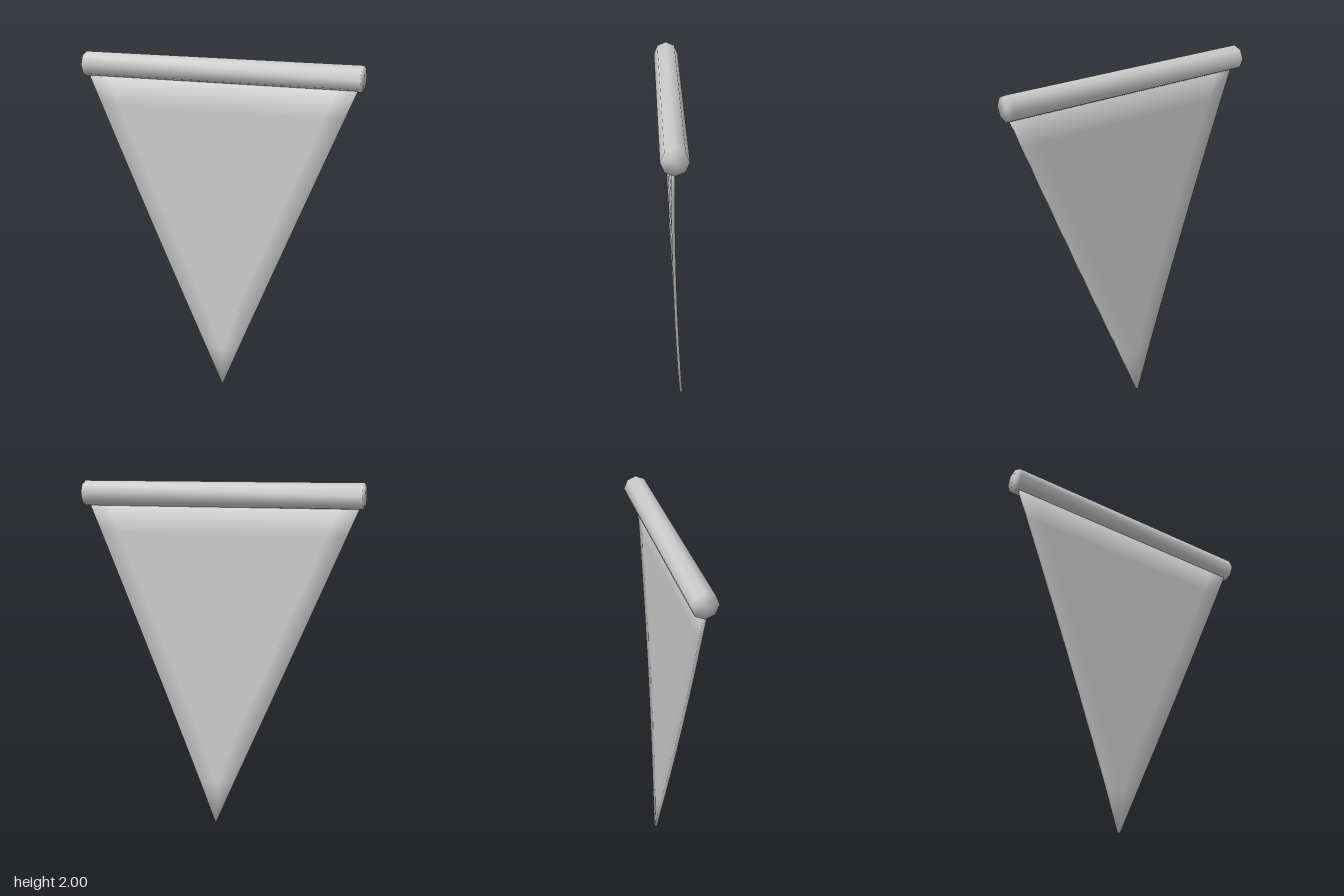
import * as THREE from 'three';
import { mergeVertices } from 'three/addons/utils/BufferGeometryUtils.js';

const ROD_RADIUS = 0.073, ROD_LENGTH = 1.67;
const TOP = 1.862, HALF_WIDTH = 0.81, THICKNESS = 0.018;

// Octagonal rod with shading that runs smoothly over the end caps
function rodGeometry() {
  const g = new THREE.CylinderGeometry(ROD_RADIUS, ROD_RADIUS, ROD_LENGTH, 8);
  g.deleteAttribute('normal');
  g.deleteAttribute('uv');
  const merged = mergeVertices(g);
  merged.computeVertexNormals();
  merged.rotateZ(Math.PI / 2);
  return merged;
}

// Thin triangular cloth: one eight-point loop per height, soft normals along the hem
function clothGeometry() {
  const heights = [TOP, 1.7, 1.45, 1.2, 0.95, 0.7, 0.45, 0.24, 0];
  const hem = 0.115;
  const pos = [], nor = [], idx = [];
  heights.forEach((y, r) => {
    const t = y / TOP;
    const outer = Math.max(HALF_WIDTH * t, 0.003);
    const inner = Math.max(outer - hem, outer * 0.15);
    // Leans back towards the tip with a slight forward belly
    const z = -0.07 + 0.079 * t + 0.05 * t * (1 - t);
    const xs = [-outer, -inner, inner, outer];
    for (const side of [1, -1]) {
      for (let k = 0; k < 4; k++) {
        const x = xs[side > 0 ? k : 3 - k];
        const onHem = k === 0 || k === 3;
        const n = new THREE.Vector3(0, 0, side);
        if (onHem) n.add(new THREE.Vector3(Math.sign(x) * 0.75, -0.33, 0));
        if (r === 0) n.y += 0.8;
        if (r === heights.length - 1) n.y -= 0.8;
        n.normalize();
        pos.push(x, y, z + side * THICKNESS / 2);
        nor.push(n.x, n.y, n.z);
      }
    }
  });
  const last = heights.length - 1;
  for (let r = 0; r < last; r++) {
    for (let k = 0; k < 8; k++) {
      const a = r * 8 + k, b = r * 8 + (k + 1) % 8;
      idx.push(a, a + 8, b, b, a + 8, b + 8);
    }
  }
  // Top and tip closing strips
  for (let k = 0; k < 3; k++) {
    const a = k, b = k + 1, c = 6 - k, d = 7 - k, o = last * 8;
    idx.push(a, b, c, a, c, d);
    idx.push(o + a, o + c, o + b, o + a, o + d, o + c);
  }
  const g = new THREE.BufferGeometry();
  g.setAttribute('position', new THREE.Float32BufferAttribute(pos, 3));
  g.setAttribute('normal', new THREE.Float32BufferAttribute(nor, 3));
  g.setIndex(idx);
  return g;
}

export function createModel() {
  const group = new THREE.Group();
  group.name = 'pennant';
  const material = new THREE.MeshStandardMaterial({ color: 0xcccccc });

  const rod = new THREE.Mesh(rodGeometry(), material);
  rod.name = 'rod';
  rod.position.y = 2 - ROD_RADIUS;

  const cloth = new THREE.Mesh(clothGeometry(), material);
  cloth.name = 'cloth';

  group.add(rod, cloth);
  return group;
}
